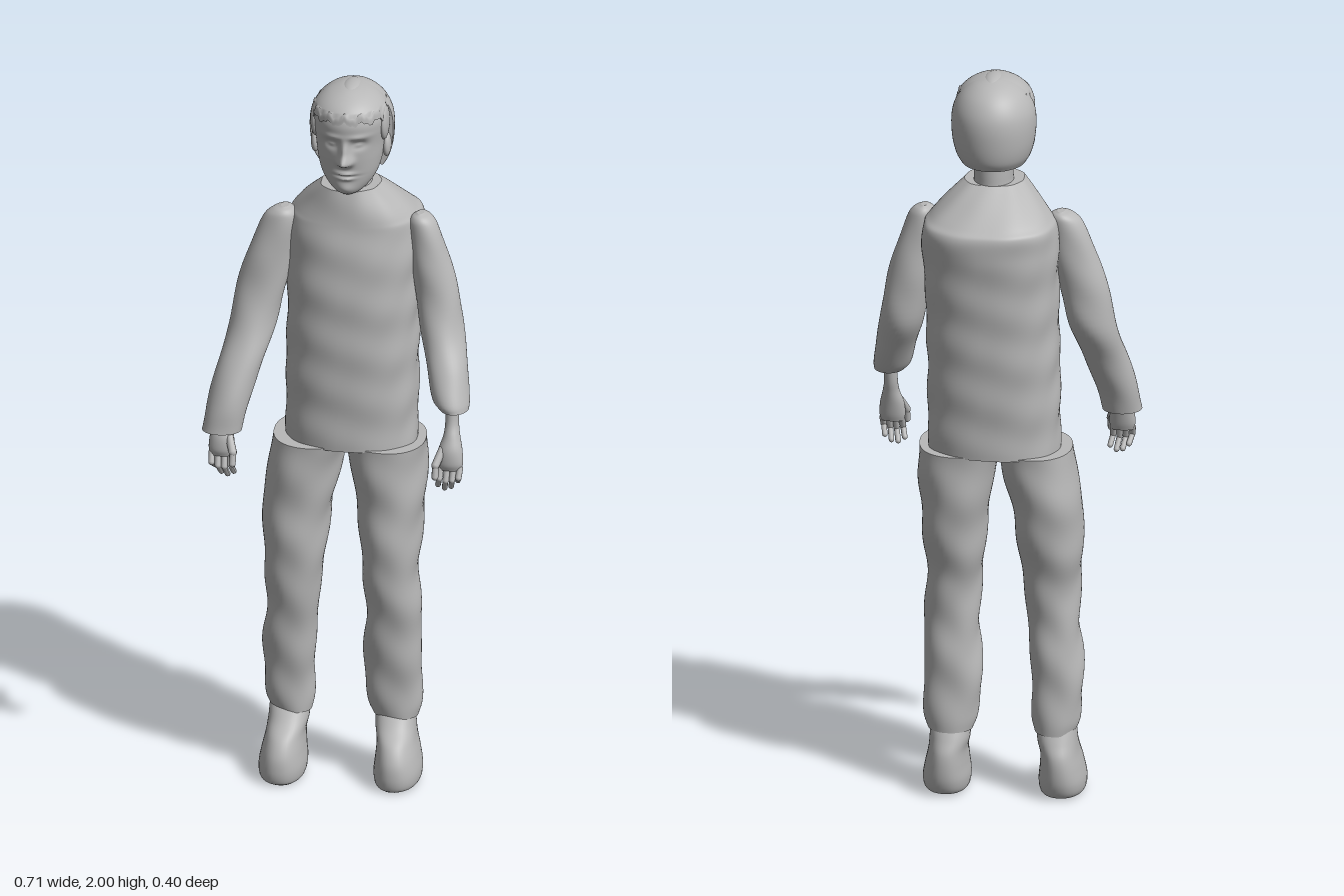
import * as THREE from 'three';

const grey = new THREE.MeshStandardMaterial({ color: 0xb8b8b8 });
grey.name = 'plain grey';

// Smooth capped loft through level sections [y, xMin, xMax, zMin, zMax], listed bottom to top.
function loft(sections, { rows = 40, cols = 40, power = 2, rule = null } = {}) {
  const curve = (f) => new THREE.CatmullRomCurve3(sections.map(f), false, 'catmullrom', 0.5);
  const xs = curve((s) => new THREE.Vector3(s[1], s[2], s[0]));
  const zs = curve((s) => new THREE.Vector3(s[3], s[4], s[0]));
  const pos = [], idx = [], p = new THREE.Vector3();
  const bend = (v) => Math.sign(v) * Math.pow(Math.abs(v), 2 / power);
  for (let i = 0; i <= rows; i++) {
    const X = xs.getPoint(i / rows), Z = zs.getPoint(i / rows);
    for (let j = 0; j < cols; j++) {
      const a = (j / cols) * Math.PI * 2;
      p.set((X.x + X.y) / 2 + bend(Math.cos(a)) * (X.y - X.x) / 2, X.z,
        (Z.x + Z.y) / 2 + bend(Math.sin(a)) * (Z.y - Z.x) / 2);
      if (rule) rule(p, a);
      pos.push(p.x, p.y, p.z);
    }
  }
  for (let i = 0; i < rows; i++) {
    for (let j = 0; j < cols; j++) {
      const k = (j + 1) % cols, a = i * cols + j, b = i * cols + k;
      idx.push(a, a + cols, b, b, a + cols, b + cols);
    }
  }
  // flat end caps with their own vertices
  for (const row of [0, rows]) {
    const start = pos.length / 3, s = sections[row ? sections.length - 1 : 0];
    for (let j = 0; j < cols * 3; j++) pos.push(pos[row * cols * 3 + j]);
    pos.push((s[1] + s[2]) / 2, s[0], (s[3] + s[4]) / 2);
    for (let j = 0; j < cols; j++) {
      const a = start + j, b = start + (j + 1) % cols;
      idx.push(start + cols, row ? b : a, row ? a : b);
    }
  }
  const g = new THREE.BufferGeometry();
  g.setAttribute('position', new THREE.Float32BufferAttribute(pos, 3));
  g.setIndex(idx);
  g.computeVertexNormals();
  return g;
}

const bump = (dx, dy, sx, sy) => Math.exp(-((dx / sx) ** 2) - (dy / sy) ** 2);

// Soft creases in cloth
const cloth = (amount, fx, fy) => (p, a) => {
  const w = amount * (Math.sin(p.y * fy + Math.sin(a * 2) * 1.5) + 0.6 * Math.sin(a * fx + p.y * 31));
  p.x += Math.cos(a) * w;
  p.z += Math.sin(a) * w;
};

const CX = 0.023; // centre line of the head

// Nose, eyes, brow, lips and chin pushed in or out of the front of the head
function faceRule(p) {
  const front = THREE.MathUtils.smoothstep(p.z, 0.03, 0.09);
  const dx = p.x - CX, ax = Math.abs(dx), y = p.y;
  let d = 0.038 * bump(dx, y - 1.818, 0.016, 0.016) + 0.02 * bump(dx, y - 1.845, 0.012, 0.026);
  d += 0.009 * bump(ax - 0.016, y - 1.812, 0.009, 0.01);
  d -= 0.013 * bump(ax - 0.036, y - 1.862, 0.02, 0.013);
  d += 0.007 * bump(ax - 0.036, y - 1.86, 0.011, 0.006);
  d += 0.005 * bump(ax - 0.035, y - 1.886, 0.028, 0.008);
  d += 0.009 * bump(dx, y - 1.776, 0.024, 0.006) + 0.009 * bump(dx, y - 1.762, 0.02, 0.006);
  d -= 0.005 * bump(dx, y - 1.769, 0.03, 0.003);
  d += 0.006 * bump(dx, y - 1.73, 0.022, 0.014);
  p.z += d * front;
}

export function createModel() {
  const model = new THREE.Group();
  const add = (name, geometry, parent = model) => {
    const m = new THREE.Mesh(geometry, grey);
    m.name = name;
    parent.add(m);
    return m;
  };
  const ball = (name, x, y, z, rx, ry, rz) => {
    const m = add(name, new THREE.SphereGeometry(1, 32, 20));
    m.position.set(x, y, z);
    m.scale.set(rx, ry, rz);
    return m;
  };
  // symmetric section about the head's centre line
  const sec = (y, hw, z0, z1) => [y, CX - hw, CX + hw, z0, z1];

  // Head and neck
  add('head', loft([
    sec(1.708, 0.018, 0.05, 0.092), sec(1.718, 0.038, 0.02, 0.104), sec(1.74, 0.06, -0.01, 0.11),
    sec(1.77, 0.077, -0.04, 0.114), sec(1.81, 0.087, -0.07, 0.12), sec(1.85, 0.092, -0.085, 0.125),
    sec(1.89, 0.097, -0.095, 0.134), sec(1.92, 0.097, -0.095, 0.136), sec(1.95, 0.087, -0.085, 0.125),
    sec(1.975, 0.065, -0.06, 0.095), sec(1.988, 0.035, -0.03, 0.06), sec(1.992, 0.004, 0.005, 0.015),
  ], { rows: 110, cols: 128, rule: faceRule }));
  add('neck', loft([
    sec(1.64, 0.07, -0.07, 0.075), sec(1.7, 0.055, -0.066, 0.07), sec(1.74, 0.052, -0.066, 0.055),
    sec(1.8, 0.055, -0.066, 0.05),
  ]));

  // Hair: back shell cut flat ahead of the ears, ragged fringe and crown patch
  add('backHair', loft([
    sec(1.765, 0.085, -0.1, 0.1), sec(1.79, 0.099, -0.115, 0.115), sec(1.83, 0.109, -0.124, 0.124),
    sec(1.88, 0.112, -0.127, 0.127), sec(1.92, 0.106, -0.12, 0.12), sec(1.955, 0.087, -0.1, 0.1),
    sec(1.98, 0.058, -0.068, 0.068), sec(1.993, 0.025, -0.03, 0.03), sec(1.995, 0.003, -0.003, 0.003),
  ], { rows: 50, cols: 64, rule: (p) => { p.z = Math.min(p.z, 0.012); } }));
  add('frontHair', loft([
    sec(1.925, 0.1, -0.08, 0.137), sec(1.945, 0.096, -0.08, 0.135), sec(1.965, 0.081, -0.07, 0.118),
    sec(1.982, 0.058, -0.05, 0.09), sec(1.993, 0.028, -0.03, 0.058), sec(1.996, 0.003, 0.005, 0.015),
  ], {
    rows: 30, cols: 80,
    rule: (p, a) => {
      if (p.y < 1.95) p.y += 0.006 * Math.sin(a * 13) + 0.004 * Math.sin(a * 29);
    },
  }));
  ball('crownHair', CX + 0.002, 1.985, 0.012, 0.026, 0.015, 0.053);
  for (const s of [-1, 1]) {
    ball('sideHair', CX + s * 0.091, 1.9, 0.035, 0.014, 0.05, 0.035);
    ball('ear', CX + s * 0.095, 1.828, 0.018, 0.012, 0.033, 0.02).rotation.x = -0.15;
  }

  // Sleeveless top
  add('torso', loft([
    [0.97, -0.155, 0.193, -0.148, 0.1], [1.08, -0.156, 0.194, -0.155, 0.104],
    [1.2, -0.155, 0.195, -0.165, 0.11], [1.32, -0.153, 0.197, -0.173, 0.113],
    [1.44, -0.152, 0.202, -0.183, 0.113], [1.54, -0.153, 0.207, -0.193, 0.106],
    [1.6, -0.15, 0.205, -0.199, 0.099], [1.625, -0.135, 0.187, -0.178, 0.096],
    [1.67, -0.095, 0.143, -0.122, 0.09], [1.712, -0.057, 0.1, -0.066, 0.085],
  ], { rows: 80, cols: 72, power: 2.25, rule: cloth(0.0018, 9, 46) }));

  // Arms: the two differ slightly in pose
  add('rightArm', loft([
    [1.03, -0.355, -0.25, 0.085, 0.18], [1.1, -0.345, -0.235, 0.06, 0.172],
    [1.2, -0.322, -0.205, 0.015, 0.137], [1.3, -0.298, -0.175, -0.032, 0.088],
    [1.4, -0.283, -0.152, -0.038, 0.062], [1.5, -0.252, -0.132, -0.038, 0.055],
    [1.59, -0.215, -0.12, -0.035, 0.046], [1.618, -0.19, -0.128, -0.03, 0.038],
    [1.628, -0.165, -0.145, -0.015, 0.02],
  ], { rule: cloth(0.001, 3, 40) }));
  add('leftArm', loft([
    [1.125, 0.275, 0.352, 0.07, 0.165], [1.15, 0.255, 0.352, 0.05, 0.162],
    [1.22, 0.235, 0.343, 0.01, 0.132], [1.3, 0.212, 0.327, -0.03, 0.09],
    [1.4, 0.195, 0.312, -0.038, 0.062], [1.5, 0.183, 0.286, -0.038, 0.055],
    [1.59, 0.175, 0.255, -0.035, 0.046], [1.62, 0.182, 0.237, -0.03, 0.038],
    [1.632, 0.198, 0.215, -0.015, 0.02],
  ], { rule: cloth(0.001, 3, 40) }));

  // Hands: palm and jointed fingers, drawn for the left and mirrored for the right
  const V = (x, y, z) => new THREE.Vector3(x, y, z);
  const bone = (parent, name, a, b, r) => {
    const dir = b.clone().sub(a);
    const m = add(name, new THREE.CapsuleGeometry(r, dir.length(), 4, 10), parent);
    m.position.copy(a).lerp(b, 0.5);
    m.quaternion.setFromUnitVectors(V(0, 1, 0), dir.normalize());
  };
  for (const s of [-1, 1]) {
    const hand = new THREE.Group();
    hand.name = s > 0 ? 'leftHand' : 'rightHand';
    add('palm', loft([
      [0.965, 0.278, 0.338, 0.138, 0.168], [0.985, 0.274, 0.343, 0.13, 0.174],
      [1.02, 0.277, 0.34, 0.12, 0.172], [1.055, 0.288, 0.332, 0.11, 0.158],
      [1.09, 0.291, 0.327, 0.1, 0.143], [1.15, 0.292, 0.328, 0.09, 0.135],
    ], { rows: 24, cols: 24 }), hand);
    for (let i = 0; i < 4; i++) {
      const x = 0.284 + i * 0.017, drop = [0, 0.01, 0.006, -0.01][i];
      const knuckle = V(x, 0.97, 0.156), tip = V(x - 0.008, 0.918 - drop, 0.152 - i * 0.004);
      const mid = V(x - 0.002, 0.942 - drop / 2, 0.168);
      bone(hand, 'finger', knuckle, mid, 0.0085);
      bone(hand, 'fingertip', mid, tip, 0.0075);
    }
    bone(hand, 'thumb', V(0.288, 1.02, 0.155), V(0.274, 0.985, 0.182), 0.011);
    bone(hand, 'thumbTip', V(0.274, 0.985, 0.182), V(0.274, 0.955, 0.19), 0.009);
    if (s < 0) {
      // mirror by vertex so faces keep their outward side
      hand.updateMatrixWorld(true);
      for (const m of hand.children) {
        const g = m.geometry;
        g.applyMatrix4(m.matrixWorld);
        g.scale(-1, 1, 1);
        const ix = g.index;
        for (let i = 0; i < ix.count; i += 3) {
          const t = ix.getX(i);
          ix.setX(i, ix.getX(i + 1));
          ix.setX(i + 1, t);
        }
        g.computeVertexNormals();
        m.position.set(0, 0, 0);
        m.quaternion.identity();
      }
      hand.position.x = 0.008;
    }
    model.add(hand);
  }

  // Trouser legs
  const legRule = { rows: 70, cols: 48, power: 2.15, rule: cloth(0.0022, 3, 38) };
  add('rightLeg', loft([
    [0.178, -0.192, -0.088, -0.08, 0.025], [0.22, -0.208, -0.082, -0.08, 0.03],
    [0.3, -0.215, -0.08, -0.079, 0.04], [0.4, -0.214, -0.074, -0.079, 0.056],
    [0.5, -0.204, -0.066, -0.076, 0.072], [0.6, -0.208, -0.054, -0.086, 0.09],
    [0.7, -0.214, -0.042, -0.112, 0.098], [0.8, -0.214, -0.028, -0.13, 0.1],
    [0.9, -0.2, -0.006, -0.141, 0.105], [0.975, -0.188, 0.012, -0.146, 0.108],
  ], legRule));
  add('leftLeg', loft([
    [0.178, 0.078, 0.195, -0.08, 0.025], [0.22, 0.063, 0.204, -0.08, 0.03],
    [0.3, 0.052, 0.206, -0.079, 0.04], [0.4, 0.055, 0.204, -0.079, 0.056],
    [0.5, 0.06, 0.207, -0.076, 0.072], [0.6, 0.053, 0.199, -0.086, 0.09],
    [0.7, 0.043, 0.207, -0.112, 0.098], [0.8, 0.034, 0.214, -0.13, 0.1],
    [0.9, 0.017, 0.219, -0.141, 0.105], [0.975, 0.002, 0.22, -0.146, 0.108],
  ], legRule));

  // Shoes
  for (const s of [-1, 1]) {
    const shoe = [
      [0, 0.1, 0.188, -0.06, 0.1], [0.01, 0.088, 0.206, -0.085, 0.112], [0.04, 0.084, 0.21, -0.1, 0.117],
      [0.08, 0.088, 0.203, -0.106, 0.112], [0.12, 0.09, 0.194, -0.104, 0.09],
      [0.155, 0.083, 0.19, -0.09, 0.05], [0.19, 0.083, 0.188, -0.074, 0.02],
    ].map(([y, a, b, z0, z1]) => (s > 0 ? [y, a, b, z0, z1] : [y, -b - 0.012, -a - 0.012, z0, z1]));
    add(s > 0 ? 'leftShoe' : 'rightShoe', loft(shoe, { power: 2.2 }));
  }
  return model;
}
